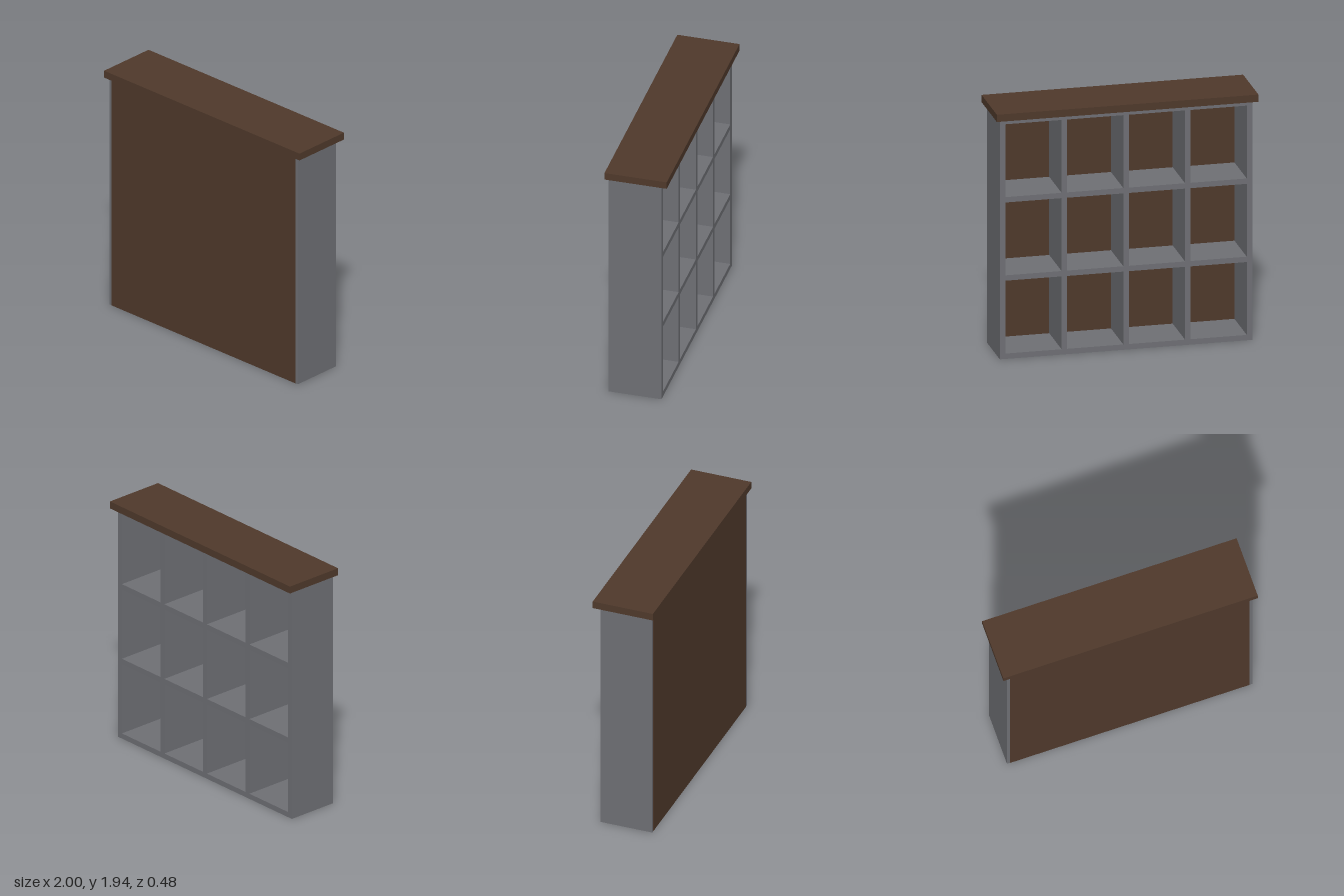
import * as THREE from 'three';

const WIDTH = 1.93, HEIGHT = 1.88, BACK = -0.19, FRONT = 0.22;
const COLUMNS = 4, ROWS = 3, BOARD = 0.042;

function rectangle(target, x0, y0, x1, y1) {
  target.moveTo(x0, y0);
  target.lineTo(x1, y0);
  target.lineTo(x1, y1);
  target.lineTo(x0, y1);
  target.closePath();
  return target;
}

export function createModel() {
  const model = new THREE.Group();
  model.name = 'cubbyShelf';
  const grey = new THREE.MeshStandardMaterial({ color: 0x6e6f74 });
  const wood = new THREE.MeshStandardMaterial({ color: 0x4f392b });

  const add = (name, geometry, material, x, y, z) => {
    const mesh = new THREE.Mesh(geometry, material);
    mesh.name = name;
    mesh.position.set(x, y, z);
    model.add(mesh);
  };

  // Carcass: outer walls, shelves and dividers around a grid of open cubbies
  const outline = rectangle(new THREE.Shape(), -WIDTH / 2, 0, WIDTH / 2, HEIGHT);
  const cellW = (WIDTH - BOARD * (COLUMNS + 1)) / COLUMNS;
  const cellH = (HEIGHT - BOARD * (ROWS + 1)) / ROWS;
  for (let c = 0; c < COLUMNS; c++) {
    for (let r = 0; r < ROWS; r++) {
      const x = -WIDTH / 2 + BOARD + c * (cellW + BOARD);
      const y = BOARD + r * (cellH + BOARD);
      outline.holes.push(rectangle(new THREE.Path(), x, y, x + cellW, y + cellH));
    }
  }
  const carcass = new THREE.ExtrudeGeometry(outline, { depth: FRONT - BACK, bevelEnabled: false });
  add('carcass', carcass, grey, 0, 0.001, BACK);

  // Thin wooden panel closing the front, a hair proud of the carcass
  add('frontPanel', new THREE.BoxGeometry(1.884, HEIGHT, 0.024), wood, 0, HEIGHT / 2, FRONT - 0.011);

  // Overhanging wooden top
  add('topBoard', new THREE.BoxGeometry(2, 0.057, 0.48), wood, 0, HEIGHT + 0.0275, 0);

  return model;
}
